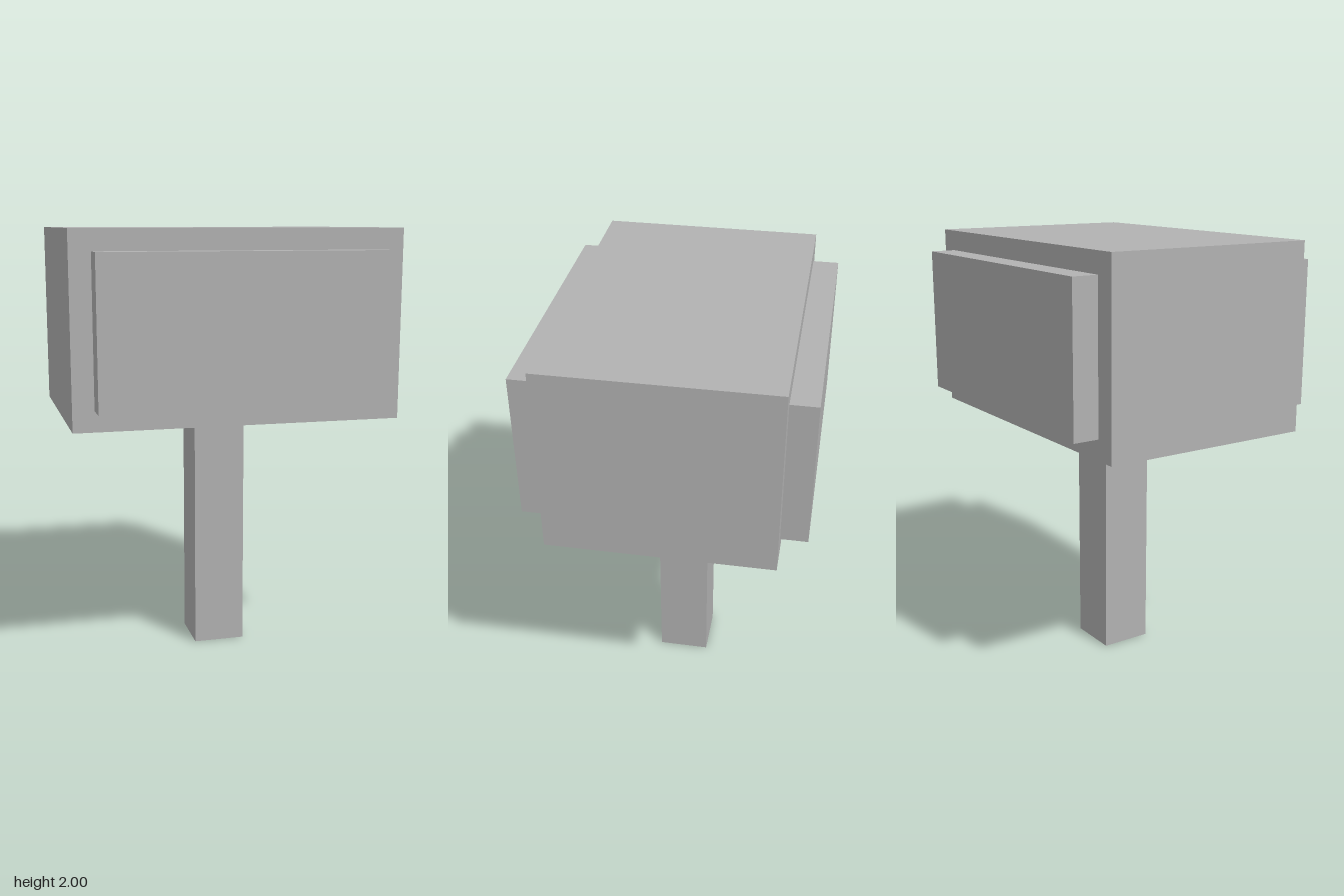
import * as THREE from 'three';

export function createModel() {
  const model = new THREE.Group();
  model.name = 'mallet';

  const grey = new THREE.MeshStandardMaterial({ color: 0xb2b2b2 });
  grey.name = 'light grey';

  // Box given by its size, bottom height and z centre
  function addBox(name, width, height, depth, bottom, z = 0) {
    const mesh = new THREE.Mesh(new THREE.BoxGeometry(width, height, depth), grey);
    mesh.name = name;
    mesh.position.set(0, bottom + height / 2, z);
    model.add(mesh);
  }

  // Square handle and large head block
  addBox('handle', 0.24, 1.15, 0.24, 0);
  addBox('head', 1.476, 0.85, 1, 1.15);

  // Raised striking plates on the front and back of the head
  for (const [name, side] of [['frontPlate', 1], ['backPlate', -1]]) {
    addBox(name, 1.286, 0.664, 0.118, 1.242, side * 0.559);
  }

  return model;
}
